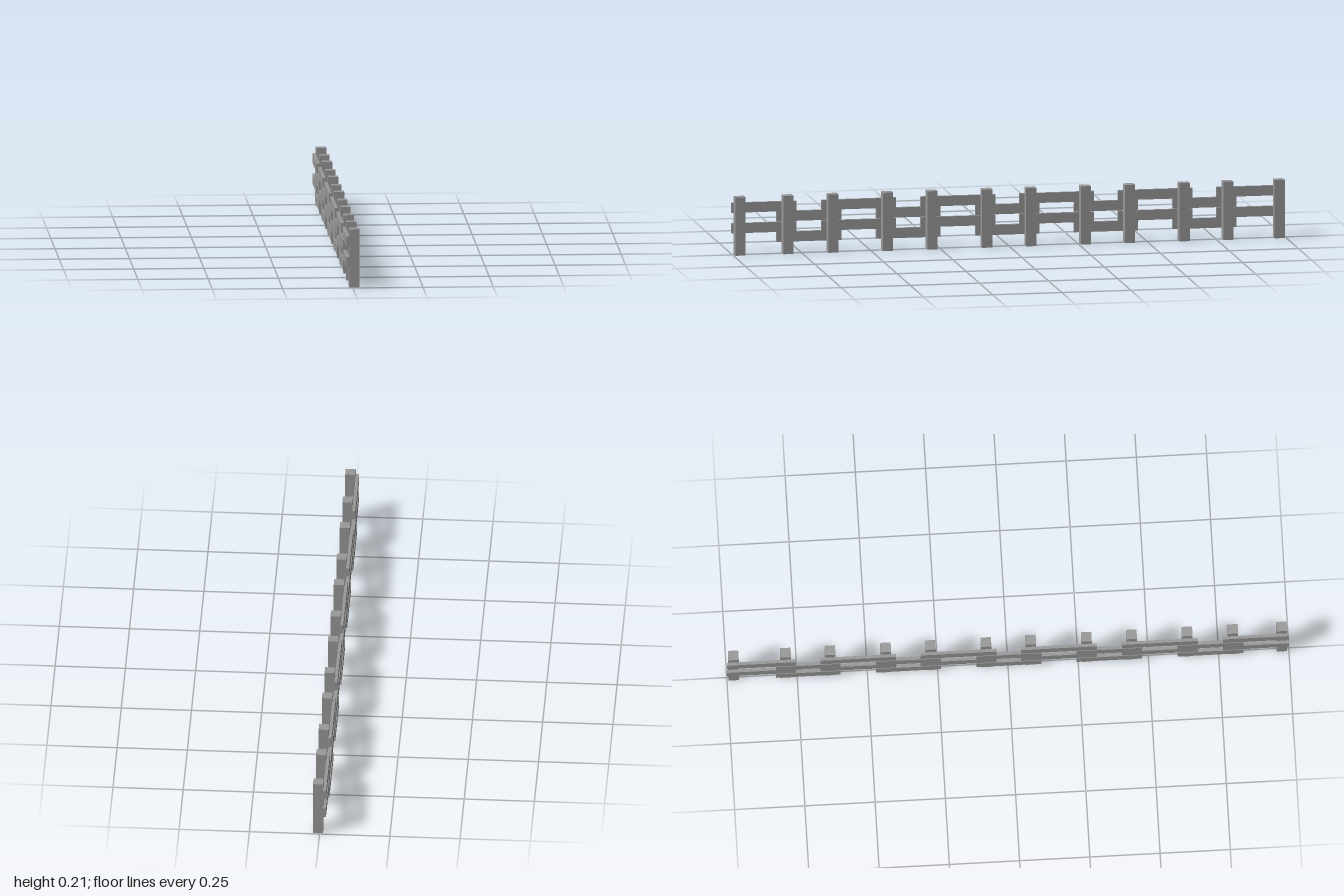
import * as THREE from 'three';

const material = new THREE.MeshStandardMaterial({ color: 0x999999 });

// Box given by its lower and upper bounds on each axis
function block(name, [x0, x1], [y0, y1], [z0, z1]) {
  const mesh = new THREE.Mesh(new THREE.BoxGeometry(x1 - x0, y1 - y0, z1 - z0), material);
  mesh.position.set((x0 + x1) / 2, (y0 + y1) / 2, (z0 + z1) / 2);
  mesh.name = name;
  return mesh;
}

export function createModel() {
  const fence = new THREE.Group();
  fence.name = 'fence';

  // Posts, alternating wide and narrow bays
  const postZ = [-0.976, -0.79, -0.632, -0.434, -0.275, -0.077, 0.082, 0.28, 0.441, 0.639, 0.801, 0.975];
  const half = 0.0185, overhang = 0.036;
  postZ.forEach((z) => fence.add(block('post', [-0.012, 0.024], [0, 0.21], [z - half, z + half])));

  // Rail pairs: high in the wide bays, low in the narrow ones, overlapping behind each post
  for (let i = 0; i < postZ.length - 1; i++) {
    const high = i % 2 === 0;
    const z0 = i === 0 ? -1 : postZ[i] - overhang;
    const z1 = i === postZ.length - 2 ? 1 : postZ[i + 1] + overhang;
    const bay = new THREE.Group();
    bay.name = high ? 'highRails' : 'lowRails';
    for (const y of high ? [0.075, 0.149] : [0.039, 0.113]) {
      bay.add(block('rail', [high ? -0.023 : -0.025, -0.012], [y, y + 0.036], [z0, z1]));
    }
    fence.add(bay);
  }
  return fence;
}
